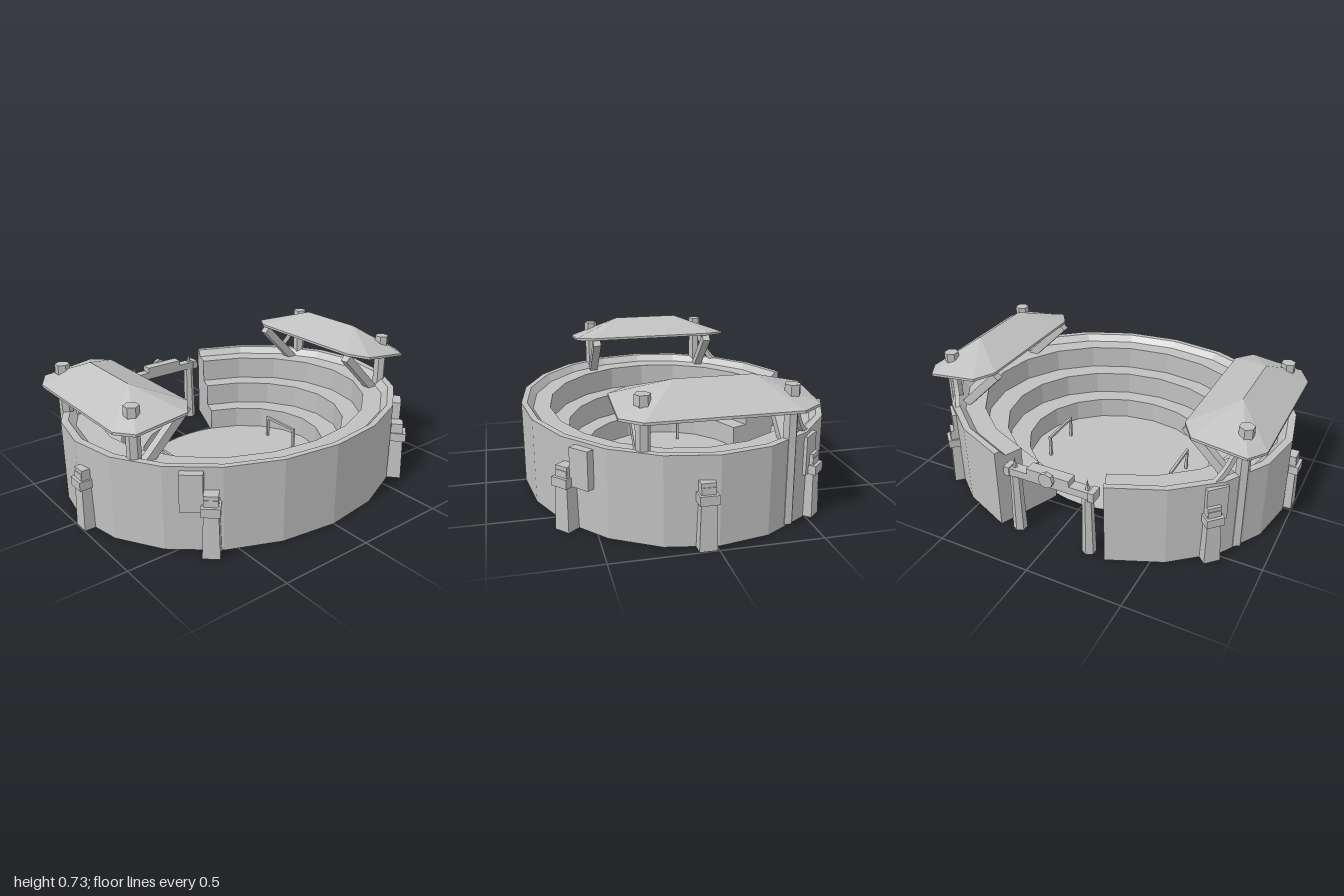
import * as THREE from 'three';
import { ConvexGeometry } from 'three/addons/geometries/ConvexGeometry.js';

const stone = new THREE.MeshStandardMaterial({ color: 0xc0c0c0, flatShading: true, side: THREE.DoubleSide });
stone.name = 'grey stone';

const CZ = -0.012; // centre of the oval in z
const STEP = Math.PI / 10; // one of twenty wall panels

function add(parent, name, geometry, x = 0, y = 0, z = 0) {
  const mesh = new THREE.Mesh(geometry, stone);
  mesh.name = name;
  mesh.position.set(x, y, z);
  parent.add(mesh);
  return mesh;
}

// Oval rule: depth radius r at angle a becomes a point on the plan
function oval(r, a) {
  return [(r * 1.265 - 0.052) * Math.sin(a), r * Math.cos(a) + CZ];
}

// Square bar between two points
function bar(parent, name, a, b, w, d = w) {
  const from = new THREE.Vector3(...a), to = new THREE.Vector3(...b);
  const mesh = add(parent, name, new THREE.BoxGeometry(w, d, from.distanceTo(to)));
  mesh.position.copy(from).lerp(to, 0.5);
  mesh.lookAt(to);
  return mesh;
}

// Tiered seating: a stepped section swept round the oval, open at the back
function seating(parent) {
  const profile = [
    [0.46, 0], [0.46, 0.14], [0.555, 0.14], [0.555, 0.27], [0.65, 0.27],
    [0.65, 0.4], [0.74, 0.4], [0.77, 0.435], [0.8, 0.435], [0.8, 0],
  ].map(([r, y]) => new THREE.Vector2(r, y));

  const start = Math.PI + STEP;
  const ring = new THREE.LatheGeometry(profile.slice().reverse(), 18, start, STEP * 18);
  const p = ring.attributes.position;
  for (let i = 0; i < p.count; i++) {
    const r = Math.hypot(p.getX(i), p.getZ(i)), a = Math.atan2(p.getX(i), p.getZ(i));
    const [x, z] = oval(r, a);
    p.setXYZ(i, x, p.getY(i), z);
  }
  ring.computeVertexNormals();
  add(parent, 'tieredSeating', ring);

  for (const a of [Math.PI - STEP, Math.PI + STEP]) {
    const cap = new THREE.ShapeGeometry(new THREE.Shape(profile));
    const q = cap.attributes.position;
    for (let i = 0; i < q.count; i++) {
      const [x, z] = oval(q.getX(i), a);
      q.setXYZ(i, x, q.getY(i), z);
    }
    cap.computeVertexNormals();
    add(parent, 'seatingEnd', cap);
  }
}

// Wall buttress: tapered post with a collar, and a panel beside it if wanted
function buttress(parent, x, z, turn, panelShift) {
  const g = new THREE.Group();
  g.name = 'buttress';
  g.position.set(x, 0, z);
  g.rotation.y = turn;
  parent.add(g);
  const post = new THREE.CylinderGeometry(0.047, 0.06, 0.3, 4);
  post.rotateY(Math.PI / 4);
  add(g, 'buttressPost', post, 0, 0.15, 0);
  add(g, 'buttressHead', new THREE.BoxGeometry(0.07, 0.07, 0.06), 0, 0.285, 0);
  add(g, 'buttressCollar', new THREE.BoxGeometry(0.09, 0.045, 0.09), 0, 0.245, 0.005);
  if (panelShift !== undefined) {
    add(g, 'buttressPanel', new THREE.BoxGeometry(0.11, 0.19, 0.05), panelShift, 0.32, -0.012);
  }
}

// Roof: thick tilted eave with cut corners rising to a short ridge
function roof(parent) {
  const eave = [
    [0.6, -0.5], [0.87, -0.5], [0.932, -0.4], [0.932, 0.32],
    [0.87, 0.42], [0.6, 0.42], [0.532, 0.32], [0.532, -0.4],
  ];
  const points = [new THREE.Vector3(0.745, 0.725, -0.22), new THREE.Vector3(0.745, 0.725, 0.15)];
  for (const [x, z] of eave) {
    const y = 0.582 + (0.932 - x) * 0.12;
    points.push(new THREE.Vector3(x, y, z), new THREE.Vector3(x, y + 0.013, z));
  }
  add(parent, 'roof', new ConvexGeometry(points));
}

// Everything that stands on one flank of the arena
function flank() {
  const g = new THREE.Group();
  g.name = 'flank';
  roof(g);
  for (const z of [0.305, -0.38]) {
    add(g, 'roofPost', new THREE.CylinderGeometry(0.034, 0.036, 0.63, 6), 0.822, 0.325, z);
    add(g, 'roofPostCap', new THREE.CylinderGeometry(0.038, 0.038, 0.05, 6), 0.822, 0.665, z);
    bar(g, 'roofBrace', [0.76, 0.39, z], [0.535, 0.615, z], 0.045);
  }
  // Curved strut from the rear roof post down to the wall
  const curve = new THREE.QuadraticBezierCurve3(
    new THREE.Vector3(0.8, 0.59, -0.41),
    new THREE.Vector3(0.77, 0.46, -0.43),
    new THREE.Vector3(0.72, 0.41, -0.51),
  );
  add(g, 'curvedStrut', new THREE.TubeGeometry(curve, 5, 0.018, 4));

  buttress(g, 0.625, 0.625, 0.72, 0.09);
  buttress(g, 0.955, 0.05, Math.PI / 2);
  buttress(g, 0.735, -0.525, Math.PI - 0.8, -0.02);

  // Low rail frame on the arena floor
  const x = 0.375;
  bar(g, 'railPost', [x, 0.02, -0.155], [x, 0.14, -0.155], 0.014);
  bar(g, 'railPost', [x, 0.02, 0.075], [x, 0.14, 0.075], 0.014);
  bar(g, 'railTop', [x, 0.14, -0.162], [x, 0.14, 0.082], 0.014);
  return g;
}

// Gate across the opening at the back
function gate() {
  const g = new THREE.Group();
  g.name = 'gate';
  g.position.z = -0.745;
  add(g, 'gateLintel', new THREE.BoxGeometry(0.49, 0.04, 0.055), 0, 0.355, 0);
  add(g, 'gateBoard', new THREE.BoxGeometry(0.23, 0.035, 0.06), 0, 0.39, 0);
  const disc = new THREE.CylinderGeometry(0.04, 0.04, 0.025, 8);
  disc.rotateX(Math.PI / 2);
  add(g, 'gateDisc', disc, 0, 0.385, -0.036);
  for (const s of [-1, 1]) {
    add(g, 'gatePost', new THREE.CylinderGeometry(0.028, 0.036, 0.34, 6), s * 0.2, 0.17, 0);
    add(g, 'gateSpike', new THREE.ConeGeometry(0.014, 0.06, 5), s * 0.2, 0.4, 0);
    add(g, 'lintelEnd', new THREE.BoxGeometry(0.03, 0.05, 0.065), s * 0.232, 0.355, 0);
  }
  return g;
}

export function createModel() {
  const model = new THREE.Group();
  model.name = 'arena';
  seating(model);

  // Oval floor
  const floor = new THREE.CircleGeometry(1, 40);
  floor.rotateX(-Math.PI / 2);
  floor.scale(0.53, 1, 0.463);
  add(model, 'arenaFloor', floor, 0, 0.02, CZ);

  const left = flank();
  const right = flank();
  right.scale.x = -1;
  model.add(left, right, gate());
  return model;
}
